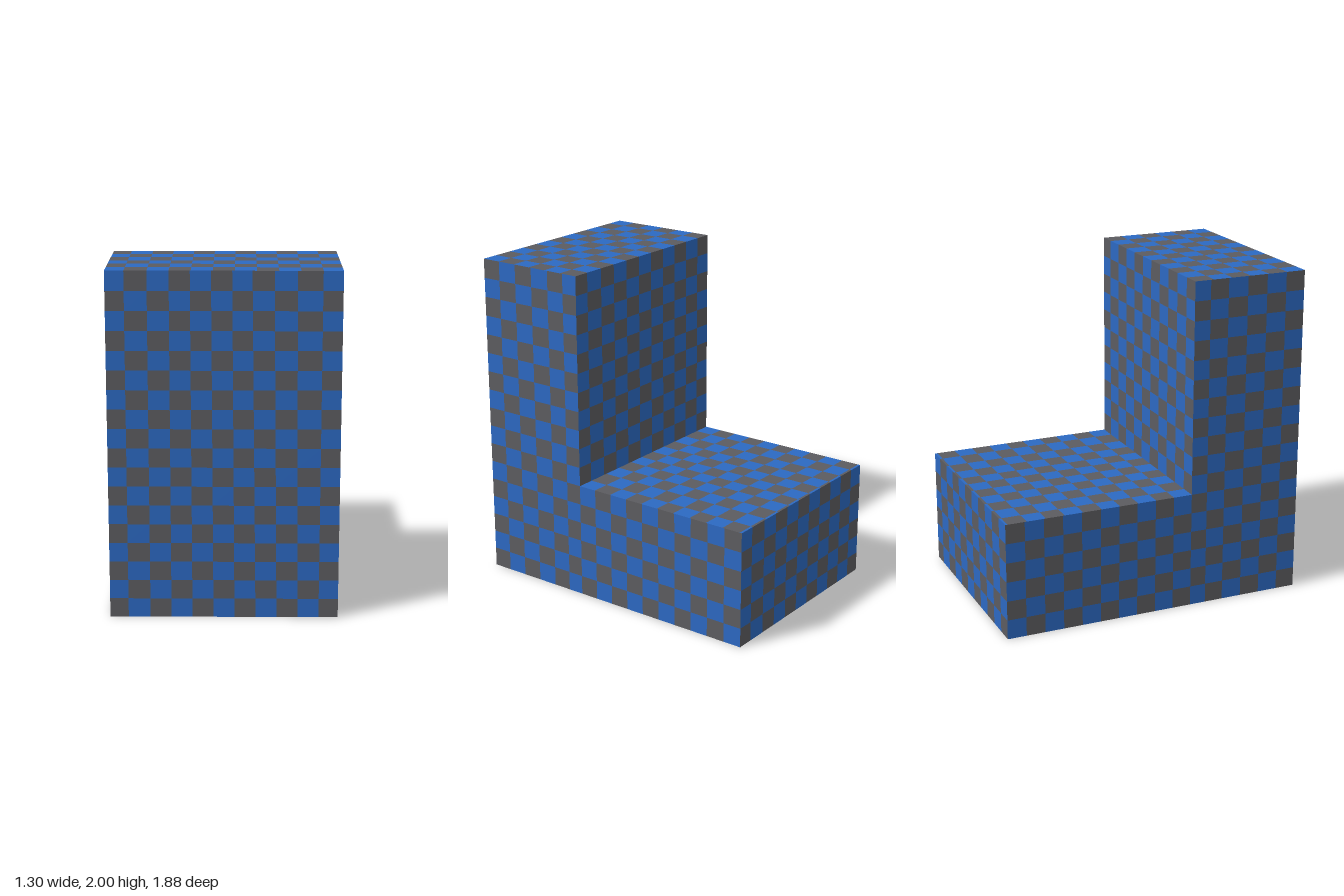
import * as THREE from 'three';

const W = 0.65, D = 0.94, H = 2, STEP_Y = 0.71, STEP_Z = 0.23;

const materials = [
  new THREE.MeshStandardMaterial({ color: 0x2c69c2 }),
  new THREE.MeshStandardMaterial({ color: 0x5c5c60 }),
];
materials[0].name = 'blue';
materials[1].name = 'grey';

// n even divisions from a to b
const divide = (a, b, n) => Array.from({ length: n + 1 }, (_, i) => a + (b - a) * i / n);

// Chequered panel: place(u, v) gives a point; u cross v must face outward.
// us1 are the column lines at the last row; skip leaves cells out.
function panel(name, us, vs, place, { us1 = us, odd = 0, flip = false, skip = () => false } = {}) {
  const positions = [[], []];
  const last = vs.length - 1;
  const at = (i, j) => {
    const t = (vs[j] - vs[0]) / (vs[last] - vs[0]);
    return place(us[i] + (us1[i] - us[i]) * t, vs[j]);
  };
  for (let j = 0; j < last; j++) {
    for (let i = 0; i < us.length - 1; i++) {
      if (skip(i, j)) continue;
      const a = at(i, j), b = at(i + 1, j), c = at(i + 1, j + 1), d = at(i, j + 1);
      const corners = flip ? [a, c, b, a, d, c] : [a, b, c, a, c, d];
      const colour = (i + j + odd) % 2 === 0 ? 1 : 0;
      positions[colour].push(...corners.flat());
    }
  }
  const geometry = new THREE.BufferGeometry();
  geometry.setAttribute('position',
    new THREE.Float32BufferAttribute(positions[0].concat(positions[1]), 3));
  const blueCount = positions[0].length / 3;
  geometry.addGroup(0, blueCount, 0);
  geometry.addGroup(blueCount, positions[1].length / 3, 1);
  geometry.computeVertexNormals();
  const mesh = new THREE.Mesh(geometry, materials);
  mesh.name = name;
  return mesh;
}

export function createModel() {
  const model = new THREE.Group();
  model.name = 'steppedBlock';

  // Column lines across the width, even and slightly drifting
  const across = [-W, -0.545, -0.42, -0.3, -0.18, -0.06, 0.06, 0.18, 0.3, 0.42, 0.54, W];
  const drifted = [-W, -0.545, -0.42, -0.3, -0.185, -0.07, 0.045, 0.155, 0.275, 0.4, 0.54, W];

  // Lines along the depth and height of the L-shaped sides
  const towerCols = [D, 0.82, 0.695, 0.57, 0.445, 0.33];
  const depth = [...towerCols, ...divide(STEP_Z, -D, 10)];
  const lowRows = divide(0, STEP_Y, 6);
  const highRows = divide(STEP_Y, H, 11);
  const height = [...lowRows.slice(0, -1), ...highRows];

  // Front of the tower
  model.add(panel('towerFront', across, divide(0, H, 18), (u, v) => [u, v, D], { us1: drifted }));

  // L-shaped sides
  for (const s of [1, -1]) {
    model.add(panel(s > 0 ? 'leftSide' : 'rightSide', depth, height, (u, v) => [s * W, v, u],
      { flip: s < 0, skip: (i, j) => i >= 6 && j >= 6 }));
  }

  // Top of the tower and of the step
  model.add(panel('towerTop', across, divide(D, STEP_Z, 6), (u, v) => [u, H, v], { odd: 1 }));
  model.add(panel('stepTop', drifted, [...divide(STEP_Z, -0.925, 10), -D],
    (u, v) => [u, STEP_Y, v], { odd: 1 }));

  // Back of the tower above the step, and back of the step
  model.add(panel('towerBack', across, highRows, (u, v) => [-u, v, STEP_Z]));
  model.add(panel('stepBack', across, lowRows, (u, v) => [-u, v, -D]));

  // Underside
  model.add(panel('underside', across, divide(-D, D, 16), (u, v) => [u, 0, v]));

  return model;
}
